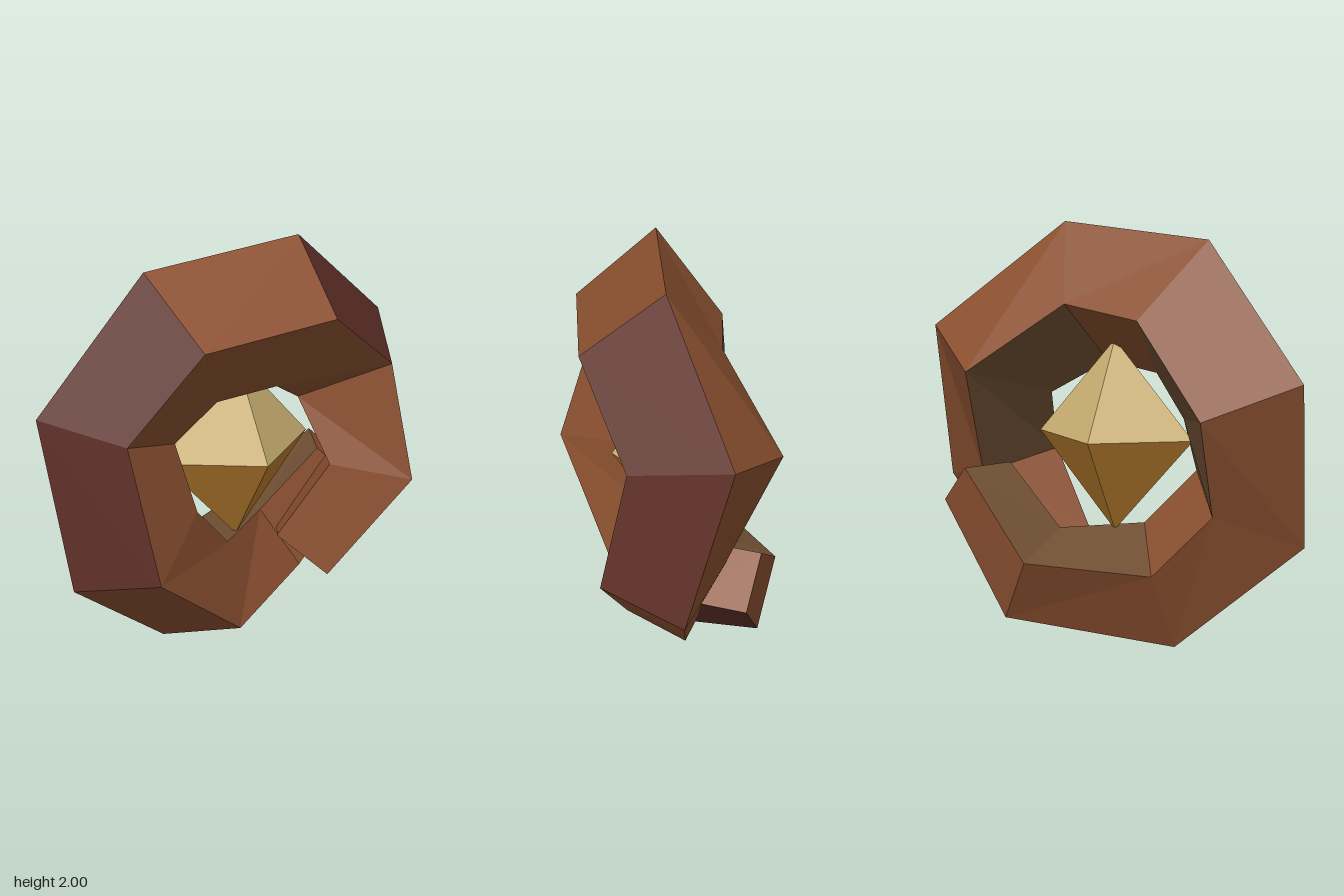
import * as THREE from 'three';

const flat = (name, color) => {
  const m = new THREE.MeshStandardMaterial({ color, flatShading: true });
  m.name = name;
  return m;
};

// Coil cross-sections, one every 45 degrees: outer, front and back corners.
// The inner corner completes the parallelogram.
const SECTIONS = [
  [[0.54, 0.22, 0.01], [0.37, 0.30, 0.27], [0.355, 0.41, -0.17]],
  [[0.98, 0.70, 0.085], [0.75, 0.79, 0.43], [0.65, 0.77, -0.15]],
  [[0.93, 1.49, -0.13], [0.70, 1.36, 0.295], [0.58, 1.30, -0.415]],
  [[0.30, 2.00, 0.065], [0.26, 1.70, 0.445], [0.16, 1.62, -0.21]],
  [[-0.48, 1.92, 0.0], [-0.40, 1.64, 0.395], [-0.25, 1.56, -0.285]],
  [[-0.985, 1.29, -0.105], [-0.735, 1.24, 0.29], [-0.60, 1.13, -0.37]],
  [[-0.935, 0.50, 0.10], [-0.69, 0.635, 0.49], [-0.585, 0.665, -0.18]],
  [[-0.365, 0.0, -0.10], [-0.15, 0.16, 0.285], [-0.325, 0.38, -0.28]],
  [[0.40, 0.12, -0.375], [0.40, 0.22, -0.02], [0.23, 0.43, -0.49]],
  [[0.834, 0.63, -0.22], [0.72, 0.63, 0.02], [0.652, 0.82, -0.32]],
].map(([o, f, b]) => [o, f, o.map((v, i) => f[i] + b[i] - v), b]);

// Flat-shaded mesh from a list of quads
function quadMesh(name, quads, material) {
  const positions = [];
  for (const [a, b, c, d] of quads) positions.push(...a, ...b, ...c, ...a, ...c, ...d);
  const geometry = new THREE.BufferGeometry();
  geometry.setAttribute('position', new THREE.Float32BufferAttribute(positions, 3));
  geometry.computeVertexNormals();
  const mesh = new THREE.Mesh(geometry, material);
  mesh.name = name;
  return mesh;
}

export function createModel() {
  const model = new THREE.Group();
  model.name = 'coiledRingWithGem';

  const brown = flat('brown', 0x8b5030);
  const redBrown = flat('red brown', 0x5f3028);
  const olive = flat('olive brown', 0x6f4f33);
  const tan = flat('pale gold', 0xcaaf72);
  const gold = flat('gold', 0xbc7f2e);

  // Coil: every third segment is plain, the others have coloured bands
  const plain = [], outerBands = [], innerBands = [];
  for (let s = 0; s < SECTIONS.length - 1; s++) {
    const a = SECTIONS[s], b = SECTIONS[s + 1];
    for (let k = 0; k < 4; k++) {
      const n = (k + 1) % 4;
      const banded = s % 3 !== 0;
      const target = banded && k === 0 ? outerBands : banded && k === 2 ? innerBands : plain;
      target.push([a[k], b[k], b[n], a[n]]);
    }
  }
  // End caps
  plain.push(SECTIONS[0], [...SECTIONS[SECTIONS.length - 1]].reverse());

  const coil = new THREE.Group();
  coil.name = 'coil';
  coil.add(
    quadMesh('coilBody', plain, brown),
    quadMesh('coilOuterBands', outerBands, redBrown),
    quadMesh('coilInnerBands', innerBands, olive),
  );
  model.add(coil);

  // Gem: two four-sided pyramids, flattened front to back
  const gem = new THREE.Group();
  gem.name = 'gem';
  const height = 0.465;
  for (const [name, material, side] of [['gemTop', tan, 1], ['gemBottom', gold, -1]]) {
    const geometry = new THREE.ConeGeometry(0.41, height, 4, 1, true);
    geometry.translate(0, height / 2, 0);
    if (side < 0) geometry.rotateX(Math.PI);
    geometry.scale(1, 1, 0.7);
    const half = new THREE.Mesh(geometry, material);
    half.name = name;
    gem.add(half);
  }
  gem.position.y = 0.98;
  model.add(gem);

  return model;
}
